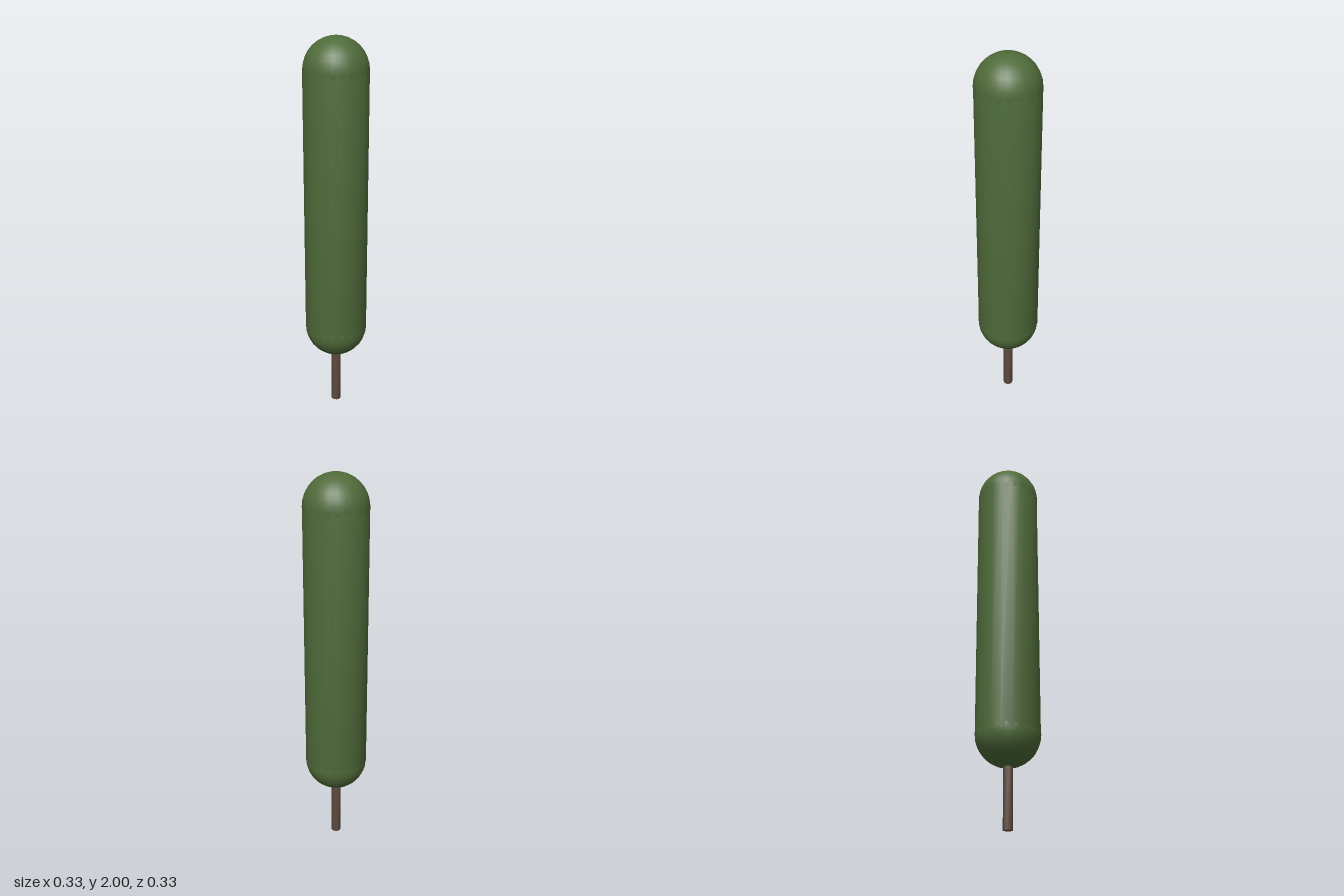
import * as THREE from 'three';
import { mergeVertices } from 'three/addons/utils/BufferGeometryUtils.js';

// Weld a geometry so that normals run smoothly over its rims
function softened(geometry) {
  geometry.deleteAttribute('normal');
  geometry.deleteAttribute('uv');
  const welded = mergeVertices(geometry, 1e-4);
  welded.computeVertexNormals();
  return welded;
}

export function createModel() {
  const model = new THREE.Group();
  model.name = 'columnarTree';

  const foliage = new THREE.MeshStandardMaterial({ color: 0x4f6b3a });
  foliage.name = 'foliageGreen';
  const bark = new THREE.MeshStandardMaterial({ color: 0x5d4a40 });
  bark.name = 'barkBrown';

  const add = (name, geometry, material, y) => {
    const mesh = new THREE.Mesh(geometry, material);
    mesh.name = name;
    mesh.position.y = y;
    model.add(mesh);
  };

  const radius = 0.163;
  const low = 0.463;
  const high = 1.837;

  // Thin trunk, reaching a little into the crown
  add('trunk', softened(new THREE.CylinderGeometry(0.025, 0.025, 0.34, 12)), bark, 0.17);

  // Tall crown with soft-shaded rims
  add('crownColumn', softened(new THREE.CylinderGeometry(radius, radius, high - low + 0.02, 20)),
    foliage, (low + high) / 2);

  // Rounded ends, whose facets poke through the column as a jagged seam
  add('crownTop', new THREE.SphereGeometry(radius, 24, 16), foliage, high);
  add('crownBottom', new THREE.SphereGeometry(radius, 24, 16), foliage, low);

  return model;
}
